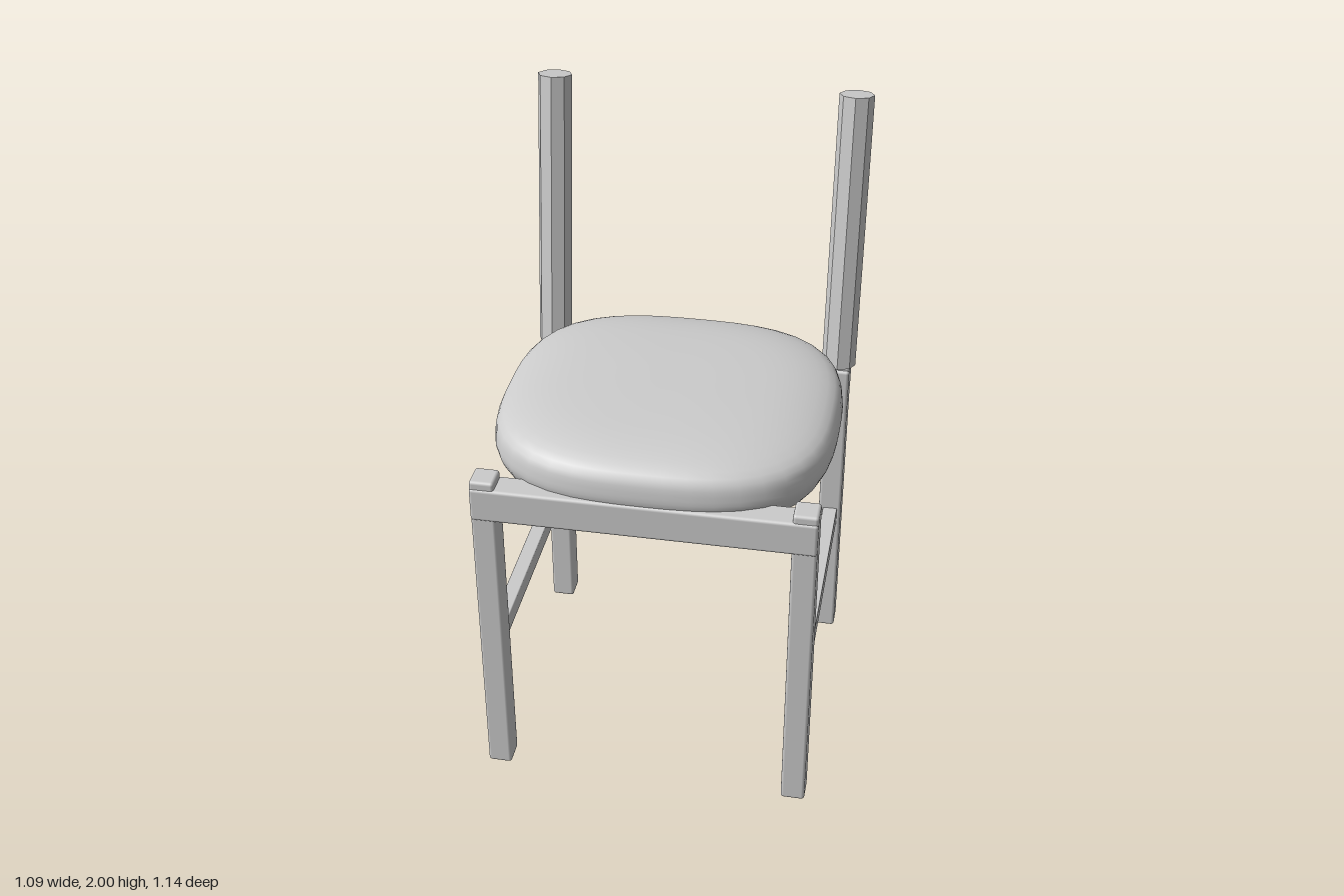
import * as THREE from 'three';
import { RoundedBoxGeometry } from 'three/addons/geometries/RoundedBoxGeometry.js';
import { mergeVertices } from 'three/addons/utils/BufferGeometryUtils.js';

export function createModel() {
  const chair = new THREE.Group();
  chair.name = 'chair';
  const grey = new THREE.MeshStandardMaterial({ color: 0xcccccc });
  grey.name = 'plain grey';

  const add = (name, geometry) => {
    const mesh = new THREE.Mesh(geometry, grey);
    mesh.name = name;
    chair.add(mesh);
    return mesh;
  };
  // Softly bevelled timber given by its extents on each axis
  const timber = (name, [x0, x1], [y0, y1], [z0, z1], bevel = 0.01) =>
    add(name, new RoundedBoxGeometry(x1 - x0, y1 - y0, z1 - z0, 2, bevel))
      .position.set((x0 + x1) / 2, (y0 + y1) / 2, (z0 + z1) / 2);

  // Rails across the front and back
  timber('frontRail', [-0.527, 0.527], [0.985, 1.098], [0.476, 0.567]);
  timber('backRail', [-0.527, 0.527], [0.985, 1.095], [-0.442, -0.355]);

  // Legs, stretchers and reclined back posts, mirrored
  for (const [side, s] of [['left', 1], ['right', -1]]) {
    const span = (a, b) => (s > 0 ? [a, b] : [-b, -a]);
    timber(side + 'FrontLeg', span(0.45, 0.527), [0, 1.123], [0.478, 0.562]);
    timber(side + 'BackLeg', span(0.45, 0.527), [0, 1.08], [-0.431, -0.345]);
    timber(side + 'Stretcher', span(0.465, 0.514), [0.46, 0.523], [-0.36, 0.49], 0.004);

    const foot = new THREE.Vector3(s * 0.487, 1.087, -0.388);
    const head = new THREE.Vector3(s * 0.487, 1.993, -0.518);
    const axis = head.clone().sub(foot);
    const post = add(side + 'BackPost',
      new THREE.CylinderGeometry(0.056, 0.056, axis.length(), 8).toNonIndexed());
    post.geometry.computeVertexNormals();
    post.position.addVectors(foot, head).multiplyScalar(0.5);
    post.quaternion.setFromUnitVectors(new THREE.Vector3(0, 1, 0), axis.normalize());
  }

  // Padded seat: a lathe profile squared off into a superellipse
  const profile = new THREE.SplineCurve([
    [0, 0.985], [0.5, 0.985], [0.8, 0.99], [0.92, 1.025], [0.985, 1.08], [1, 1.13],
    [0.95, 1.195], [0.72, 1.234], [0.35, 1.248], [0, 1.25],
  ].map(([r, y]) => new THREE.Vector2(r, y))).getPoints(36);
  profile[0].x = profile[profile.length - 1].x = 0;
  let pad = new THREE.LatheGeometry(profile, 48);
  pad.deleteAttribute('uv');
  pad.deleteAttribute('normal');
  const p = pad.attributes.position;
  const n = 2.9;
  for (let i = 0; i < p.count; i++) {
    const x = p.getX(i), z = p.getZ(i), r = Math.hypot(x, z);
    if (r < 1e-5) continue;
    const k = (Math.abs(x / r) ** n + Math.abs(z / r) ** n) ** (-1 / n);
    p.setX(i, x * k * 0.535);
    p.setZ(i, z * k * 0.5);
  }
  pad = mergeVertices(pad);
  pad.computeVertexNormals();
  add('seatCushion', pad).position.z = 0.062;

  return chair;
}
